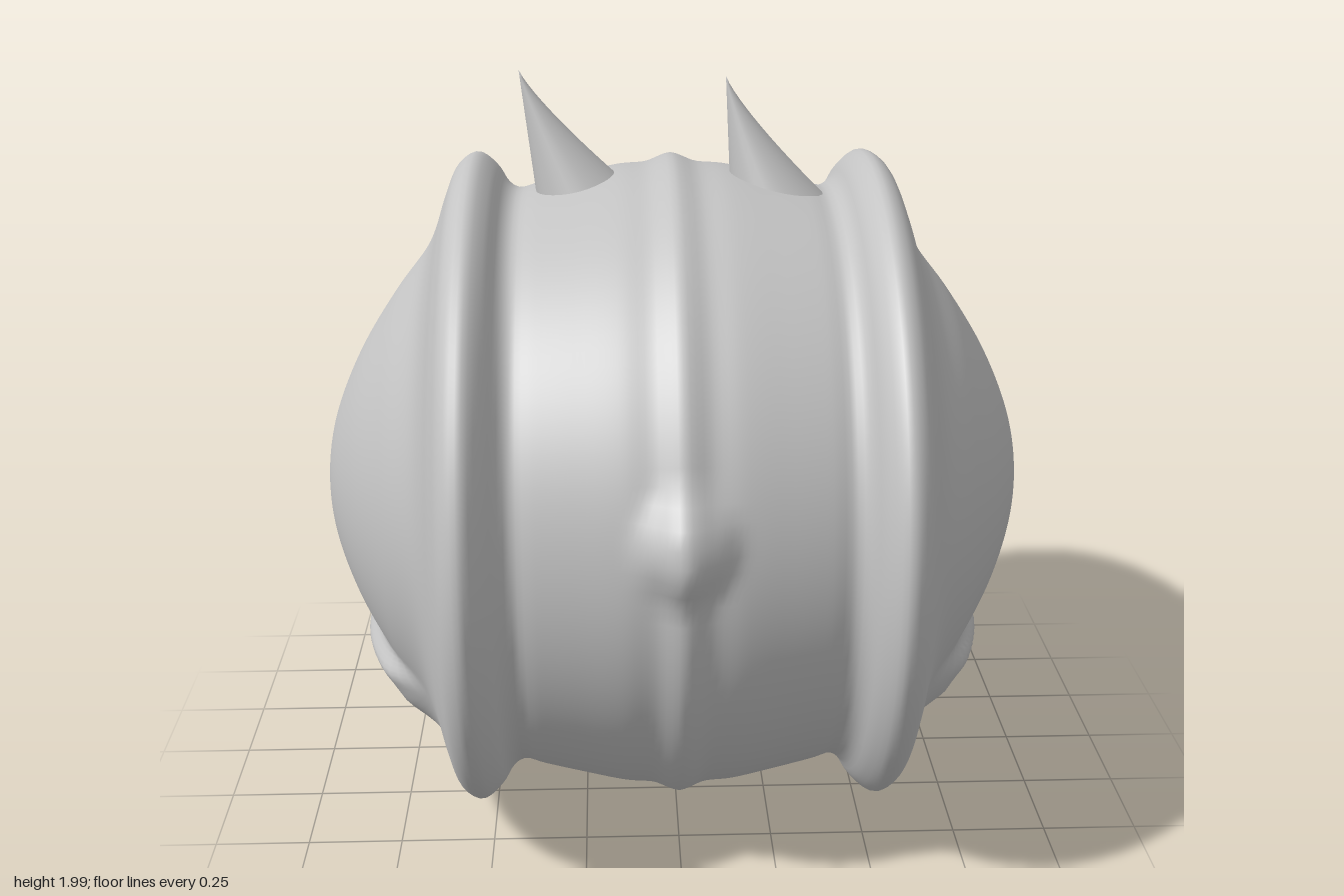
import * as THREE from 'three';
import { mergeVertices } from 'three/addons/utils/BufferGeometryUtils.js';

const stone = new THREE.MeshStandardMaterial({ color: 0xc4c4c4 });
stone.name = 'pale grey';

const CENTRE_Y = 0.885;
const step = THREE.MathUtils.smoothstep;

// Move every vertex by a rule, then weld the seam and smooth the normals
function reshape(geometry, rule) {
  geometry.deleteAttribute('uv');
  geometry.deleteAttribute('normal');
  const pos = geometry.attributes.position;
  const v = new THREE.Vector3();
  for (let i = 0; i < pos.count; i++) {
    rule(v.fromBufferAttribute(pos, i));
    pos.setXYZ(i, v.x, v.y, v.z);
  }
  const welded = mergeVertices(geometry, 1e-5);
  welded.computeVertexNormals();
  return welded;
}

// Barrel with centre ridge, two flared rims, domed ends, lips and knobs
function makeBody() {
  // half profile: [distance along x, radius], from the ridge to the dome tip
  const half = [
    [0, 0.875], [0.03, 0.866], [0.065, 0.852], [0.14, 0.845], [0.26, 0.82],
    [0.36, 0.797], [0.415, 0.783], [0.445, 0.80], [0.475, 0.845], [0.525, 0.88],
    [0.57, 0.855], [0.6, 0.79], [0.63, 0.7], [0.66, 0.635], [0.75, 0.515],
    [0.85, 0.355], [0.92, 0.19], [0.945, 0.07], [0.947, 0],
  ];
  const left = half.slice(1).reverse().map(([x, r]) => new THREE.Vector3(r, -x, 0));
  const right = half.map(([x, r]) => new THREE.Vector3(r, x, 0));
  const curve = new THREE.CatmullRomCurve3([...left, ...right], false, 'centripetal');
  curve.arcLengthDivisions = 1000;
  const profile = curve.getSpacedPoints(200).map((p) => new THREE.Vector2(Math.max(0, p.x), p.y));
  const lathe = new THREE.LatheGeometry(profile, 128).rotateZ(-Math.PI / 2);

  return reshape(lathe, (v) => {
    const ax = Math.abs(v.x);
    // the barrel is a little deeper than tall
    v.z *= 1.065 + 0.03 * step(ax, 0.4, 0.52);
    v.y += CENTRE_Y;
    // lower lip on each domed end
    const lip = step(ax, 0.62, 0.67) * step(v.y, 0.17, 0.3)
      * (1 - step(v.y, 0.44, 0.51)) * (1 - step(Math.abs(v.z), 0.36, 0.54));
    v.x += Math.sign(v.x) * 0.065 * lip;
    // round knob on the front and back of the ridge
    if (ax < 0.35) {
      const d = Math.hypot(v.x, v.y - 1.03) / 0.105;
      v.z += Math.sign(v.z) * 0.06 * Math.exp(-Math.pow(d, 4)) * step(Math.abs(v.z), 0.5, 0.7);
    }
  });
}

// Thorn with one upright edge and one hollow sloping edge
function makeSpike(tipX, tipY, baseLeft, baseRight) {
  const baseY = 1.66;
  const tube = new THREE.CylinderGeometry(1, 1, 1, 28, 16, true);
  return reshape(tube, (v) => {
    const t = v.y + 0.5;
    const w = Math.pow(1 - t, 1.2);
    const x0 = THREE.MathUtils.lerp(baseLeft, tipX, t);
    const x1 = tipX + (baseRight - tipX) * w;
    v.x = (x0 + x1) / 2 + v.x * Math.max(0, x1 - x0) / 2;
    v.z *= 0.13 * w;
    v.y = THREE.MathUtils.lerp(baseY, tipY, t);
  });
}

export function createModel() {
  const model = new THREE.Group();
  model.name = 'hornedBarrel';
  const add = (name, geometry) => {
    const mesh = new THREE.Mesh(geometry, stone);
    mesh.name = name;
    model.add(mesh);
  };
  add('body', makeBody());
  add('rightSpike', makeSpike(-0.4, 2.0, -0.36, -0.08));
  add('leftSpike', makeSpike(0.14, 1.98, 0.155, 0.41));
  return model;
}
